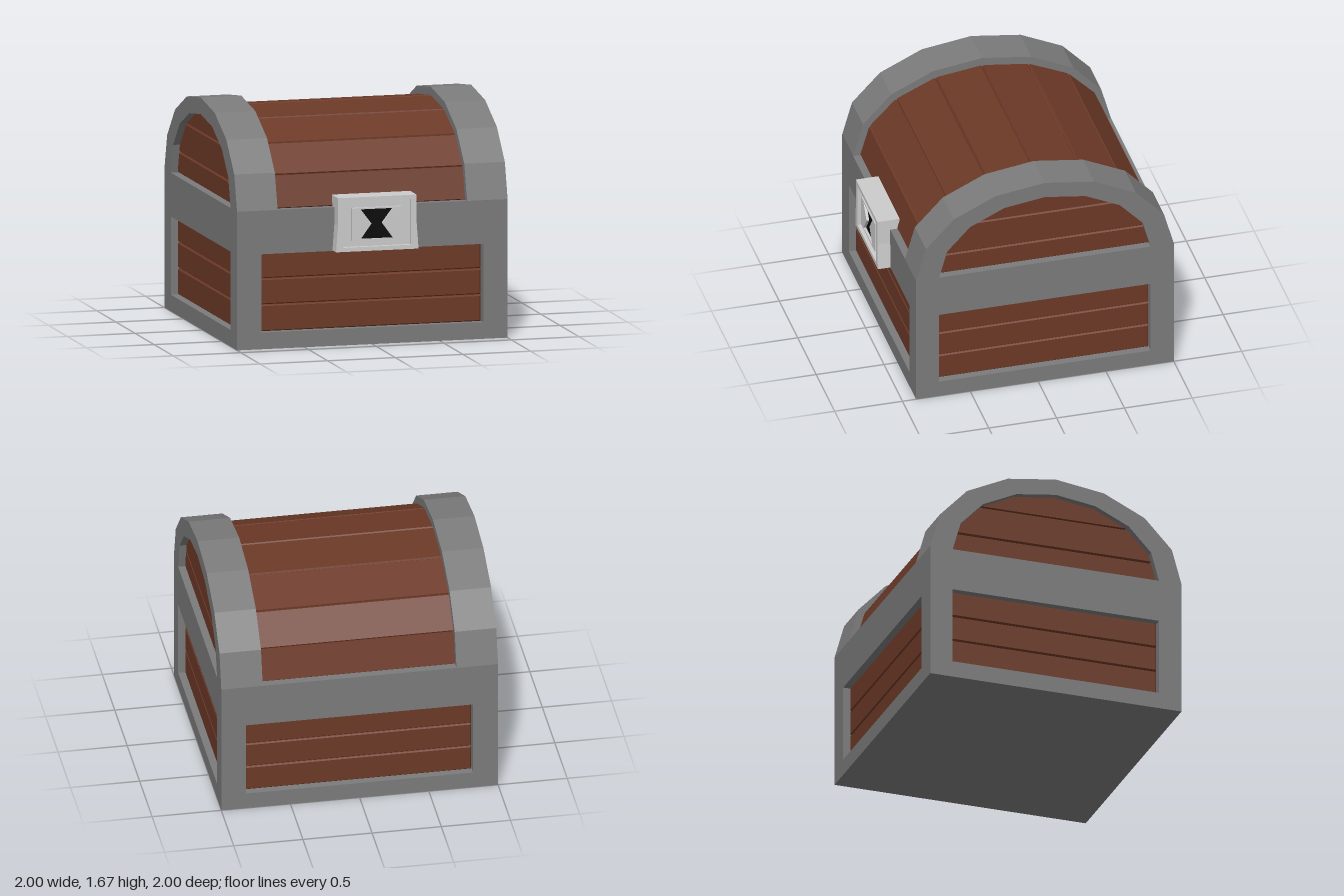
import * as THREE from 'three';

const MID = -0.05; // z centre of the chest body
const stone = new THREE.MeshStandardMaterial({ color: 0x7b7b7b, flatShading: true });
const wood = new THREE.MeshStandardMaterial({ color: 0x6c3927, flatShading: true });
const metal = new THREE.MeshStandardMaterial({ color: 0xcccccc, flatShading: true });
const black = new THREE.MeshStandardMaterial({ color: 0x0a0a0a, flatShading: true });

const polygon = (pts) => new THREE.Shape(pts.map(([x, y]) => new THREE.Vector2(x, y)));
const rect = (x0, y0, x1, y1) => polygon([[x0, y0], [x1, y0], [x1, y1], [x0, y1]]);

function add(parent, name, geometry, material) {
  const mesh = new THREE.Mesh(geometry, material);
  mesh.name = name;
  parent.add(mesh);
  return mesh;
}

function extrudeZ(shape, z0, z1) {
  return new THREE.ExtrudeGeometry(shape, { depth: z1 - z0, bevelEnabled: false }).translate(0, 0, z0);
}

// Extrudes a (z, y) profile along x
function extrudeX(shape, x0, x1) {
  return new THREE.ExtrudeGeometry(shape, { depth: x1 - x0, bevelEnabled: false })
    .rotateY(-Math.PI / 2).translate(x1, 0, 0);
}

function box(x0, x1, y0, y1, z0, z1) {
  return new THREE.BoxGeometry(x1 - x0, y1 - y0, z1 - z0)
    .translate((x0 + x1) / 2, (y0 + y1) / 2, (z0 + z1) / 2);
}

// Point i of 8 on the lid's half ellipse, as (z, y)
function arch(i, rz, ry) {
  const a = i * Math.PI / 8;
  return [MID + rz * Math.cos(a), 1 + ry * Math.sin(a)];
}

// Stack of chamfered planks facing +z; rows are [y0, y1, halfWidthBottom, halfWidthTop]
function plankPanel(name, rows) {
  const panel = new THREE.Group();
  panel.name = name;
  for (const [y0, y1, w0, w1] of rows) {
    const shape = polygon([[-w0, y0], [w0, y0], [w1, y1], [-w1, y1]]);
    const geo = new THREE.ExtrudeGeometry(shape, {
      depth: 0.03, bevelSize: 0.008, bevelOffset: -0.008, bevelThickness: 0.01, bevelSegments: 1,
    }).translate(0, 0, -0.04);
    add(panel, 'plank', geo, wood);
  }
  return panel;
}

function createLock() {
  const lock = new THREE.Group();
  lock.name = 'lock';
  // Flared outer casing with a sunken face
  const outline = polygon([[-0.305, 0.69], [0.305, 0.69], [0.29, 0.89], [0.29, 1.08], [-0.29, 1.08], [-0.29, 0.89]]);
  outline.holes.push(rect(-0.25, 0.72, 0.25, 1.05));
  add(lock, 'lockCasing', extrudeZ(outline, 0.83, 0.995), metal);
  add(lock, 'lockFace', box(-0.25, 0.25, 0.72, 1.05, 0.83, 0.96), metal);
  // Raised plate with an hourglass keyhole
  const keyhole = [[-0.12, 0.775], [0.12, 0.775], [0.04, 0.885], [0.12, 0.99], [-0.12, 0.99], [-0.04, 0.885]];
  const plate = rect(-0.185, 0.765, 0.185, 1.0);
  plate.holes.push(polygon(keyhole));
  add(lock, 'lockPlate', extrudeZ(plate, 0.955, 0.985), metal);
  add(lock, 'keyhole', extrudeZ(polygon(keyhole), 0.955, 0.965), black);
  lock.position.x = 0.01;
  return lock;
}

export function createModel() {
  const chest = new THREE.Group();
  chest.name = 'chest';

  // Base slab and the rails that close the front and back
  add(chest, 'base', box(-0.82, 0.82, 0, 0.12, -1, 0.9), stone);
  add(chest, 'frontRail', box(-0.82, 0.82, 0.685, 1, 0.73, 0.9), stone);
  add(chest, 'backRail', box(-0.82, 0.82, 0.685, 1, -1, -0.83), stone);

  // End frames with a window, and the arched lid bands above them
  const frame = rect(-1, 0, 0.9, 1);
  frame.holes.push(rect(-0.83, 0.12, 0.73, 0.685));
  const steps = [...Array(9).keys()];
  const band = polygon([
    ...steps.map((i) => arch(i, 0.95, 0.67)),
    ...steps.map((i) => arch(8 - i, 0.78, 0.55)),
  ]);
  for (const [x0, x1, b0, b1] of [[0.82, 1, 0.7, 1], [-1, -0.82, -1, -0.7]]) {
    add(chest, 'endFrame', extrudeX(frame, x0, x1), stone);
    add(chest, 'lidBand', extrudeX(band, b0, b1), stone);
  }

  // Recessed plank panels on all four sides
  const bodyRows = (w) => [[0.12, 0.309], [0.314, 0.497], [0.502, 0.685]].map(([a, b]) => [a, b, w, w]);
  const lidEndRows = [[1, 1.152, 0.78, 0.78], [1.157, 1.387, 0.748, 0.748], [1.392, 1.57, 0.575, 0.3]];
  for (const side of [1, -1]) {
    const wall = plankPanel(side > 0 ? 'frontPlanks' : 'backPlanks', bodyRows(0.816));
    wall.position.z = MID + side * 0.9;
    wall.rotation.y = side > 0 ? 0 : Math.PI;
    const end = plankPanel(side > 0 ? 'leftPlanks' : 'rightPlanks', [...bodyRows(0.778), ...lidEndRows]);
    end.position.set(side * 0.95, 0, MID);
    end.rotation.y = side * Math.PI / 2;
    chest.add(wall, end);
  }

  // Lid planks, one per facet, chamfered along their seams
  for (let i = 0; i < 8; i++) {
    const t = 0.03;
    const profile = polygon([
      arch(i, 0.83, 0.54), arch(i, 0.888, 0.598),
      ...[t, 1 - t].map((f) => {
        const a = arch(i, 0.9, 0.61), b = arch(i + 1, 0.9, 0.61);
        return [a[0] + (b[0] - a[0]) * f, a[1] + (b[1] - a[1]) * f];
      }),
      arch(i + 1, 0.888, 0.598), arch(i + 1, 0.83, 0.54),
    ]);
    add(chest, 'lidPlank', extrudeX(profile, -0.7, 0.7), wood);
  }

  chest.add(createLock());
  return chest;
}
